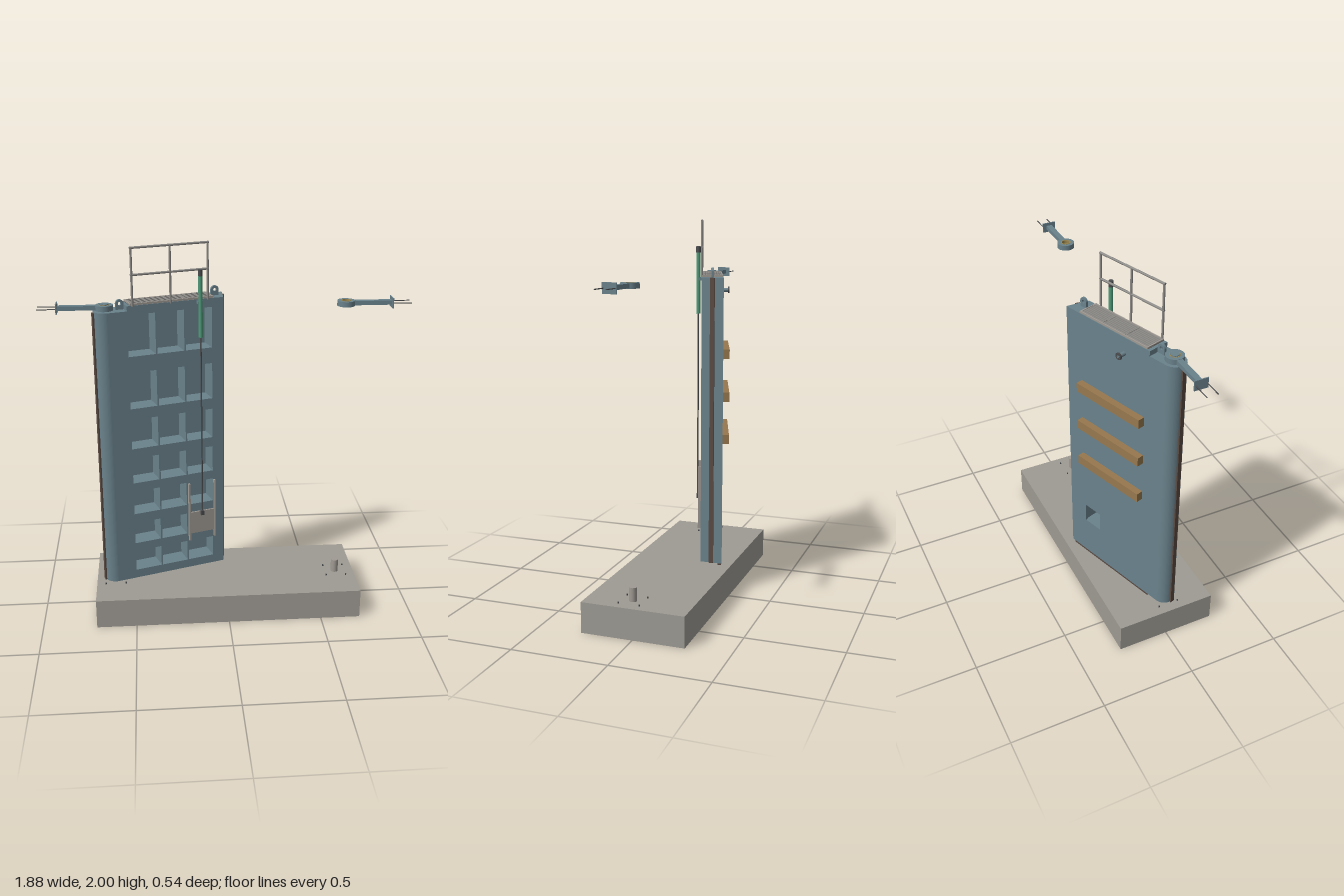
import * as THREE from 'three';

const mat = (name, color, side = THREE.FrontSide) => {
  const m = new THREE.MeshStandardMaterial({ color, side });
  m.name = name;
  return m;
};

export function createModel() {
  const blue = mat('blue grey paint', 0x6a828c);
  const concrete = mat('concrete', 0x9e9b94);
  const timber = mat('timber', 0x97784e);
  const green = mat('green actuator', 0x4f9a7a);
  const steel = mat('galvanised steel', 0x8d8b88);
  const dark = mat('dark steel', 0x4a4c4e);
  const rubber = mat('brown seal', 0x5a4a42);
  const stainless = mat('paddle steel', 0xa09a93);
  const bronze = mat('bronze', 0x9a8650);

  const root = new THREE.Group();
  root.name = 'lockGate';

  const add = (parent, name, geo, material, x = 0, y = 0, z = 0) => {
    const m = new THREE.Mesh(geo, material);
    m.name = name;
    m.position.set(x, y, z);
    parent.add(m);
    return m;
  };
  // Box given by its limits
  const box = (parent, name, material, x0, x1, y0, y1, z0, z1) =>
    add(parent, name, new THREE.BoxGeometry(x1 - x0, y1 - y0, z1 - z0), material,
      (x0 + x1) / 2, (y0 + y1) / 2, (z0 + z1) / 2);
  // Upright cylinder given by its ends
  const post = (parent, name, material, r, x, y0, y1, z, sides = 20) =>
    add(parent, name, new THREE.CylinderGeometry(r, r, y1 - y0, sides), material, x, (y0 + y1) / 2, z);
  // Plan outline (shape y = -z) raised from y0 to y1
  const prism = (parent, name, material, shape, y0, y1, curveSegments = 32) => {
    const g = new THREE.ExtrudeGeometry(shape, { depth: y1 - y0, bevelEnabled: false, curveSegments });
    g.rotateX(-Math.PI / 2);
    return add(parent, name, g, material, 0, y0, 0);
  };
  const rect = (Type, x0, x1, y0, y1) => new Type([
    new THREE.Vector2(x0, y0), new THREE.Vector2(x1, y0),
    new THREE.Vector2(x1, y1), new THREE.Vector2(x0, y1)]);
  const ringShape = (r, hole) => {
    const s = new THREE.Shape().absarc(0, 0, r, 0, Math.PI * 2);
    s.holes.push(new THREE.Path().absarc(0, 0, hole, 0, Math.PI * 2, true));
    return s;
  };

  // Concrete sill
  box(root, 'sill', concrete, -0.713, 0.713, 0, 0.16, -0.27, 0.27);

  // Pintle, anchor bolts and top anchorage on both sides
  const PX = 0.61, PZ = 0.035;
  for (const s of [-1, 1]) {
    const side = new THREE.Group();
    side.name = s > 0 ? 'leftAnchorage' : 'rightAnchorage';
    side.position.set(s * PX, 0, PZ);
    if (s < 0) side.rotation.y = Math.PI;
    root.add(side);
    post(side, 'pintle', stainless, 0.02, 0, 0.16, 0.232, 0);
    for (const bx of [-0.055, 0.055]) for (const bz of [-0.055, 0.055])
      post(side, 'sillBolt', dark, 0.004, bx, 0.16, 0.168, bz, 8);
    prism(side, 'collar', blue, ringShape(0.045, 0.026), 1.684, 1.711);
    prism(side, 'bush', bronze, ringShape(0.026, 0.02), 1.684, 1.712);
    box(side, 'anchorArm', blue, 0.04, 0.235, 1.687, 1.709, -0.015, 0.015);
    box(side, 'anchorPlate', blue, 0.232, 0.238, 1.672, 1.724, -0.035, 0.035);
    for (const z of [-0.028, 0.028]) {
      const rod = add(side, 'anchorRod', new THREE.CylinderGeometry(0.0025, 0.0025, 0.1, 8), dark, 0.282, 1.698, z);
      rod.rotation.z = Math.PI / 2;
    }
  }

  // Gate leaf, swung about the pintle
  const leaf = new THREE.Group();
  leaf.name = 'gateLeaf';
  leaf.position.set(-PX, 0, PZ);
  leaf.rotation.y = Math.atan(1 / 3);
  root.add(leaf);
  const T = 0.057, Y0 = 0.175, Y1 = 1.706, U0 = 0.1, U1 = 0.58;

  // Rounded heel post with its seal and pivot pin
  const heel = new THREE.Shape();
  heel.moveTo(U0, -T);
  heel.lineTo(0, -T);
  heel.absarc(0, 0, T, -Math.PI / 2, Math.PI / 2, true);
  heel.lineTo(U0, T);
  prism(leaf, 'heelPost', blue, heel, Y0, 1.68);
  box(leaf, 'heelSeal', rubber, -0.064, -0.05, Y0, 1.675, -0.012, 0.012);
  post(leaf, 'pivotPin', blue, 0.024, 0, 1.68, 1.716, 0, 6);

  // Mitre post, its end cut square to the lock axis
  const mitre = new THREE.Shape([[U1, -T], [0.62, -T], [0.658, T], [U1, T]]
    .map(([x, y]) => new THREE.Vector2(x, y)));
  prism(leaf, 'mitrePost', blue, mitre, Y0, Y1);
  const mitreSeal = box(leaf, 'mitreSeal', rubber, -0.007, 0.007, Y0, Y1, -0.012, 0.012);
  mitreSeal.position.x = 0.639;
  mitreSeal.rotation.y = -Math.atan(1 / 3);
  box(leaf, 'bottomSeal', rubber, 0.07, 0.64, 0.161, Y0, -0.055, -0.035);

  // Girder and rib framework, open to the front
  const rows = [[0.223, 0.34], [0.387, 0.509], [0.562, 0.695], [0.743, 0.886],
    [0.939, 1.103], [1.162, 1.358], [1.443, 1.66]];
  const frame = rect(THREE.Shape, U0, U1, Y0, Y1);
  const pitch = 0.1545;
  for (const [a, b] of rows) for (let c = 0; c < 3; c++) {
    const x = U0 + 0.001 + c * pitch;
    frame.holes.push(rect(THREE.Path, x, x + pitch - 0.008, a, b));
  }
  add(leaf, 'girderFrame', new THREE.ExtrudeGeometry(frame, { depth: 2 * T - 0.01, bevelEnabled: false }),
    blue, 0, 0, -T + 0.01);

  // Back skin with the sluice opening
  const skin = rect(THREE.Shape, U0, U1, Y0, Y1);
  skin.holes.push(rect(THREE.Path, 0.435, 0.545, 0.395, 0.505));
  add(leaf, 'skinPlate', new THREE.ExtrudeGeometry(skin, { depth: 0.01, bevelEnabled: false }), blue, 0, 0, -T);

  // Sluice paddle, guides, lifting rod and actuator
  const RU = 0.487, RV = 0.074;
  box(leaf, 'paddle', stainless, 0.415, 0.56, 0.387, 0.515, T + 0.001, T + 0.01);
  for (const u of [0.41, 0.559])
    box(leaf, 'paddleGuide', stainless, u, u + 0.009, 0.347, 0.69, T, T + 0.016);
  box(leaf, 'rodClevis', dark, RU - 0.009, RU + 0.009, 0.495, 0.52, T + 0.008, RV + 0.008);
  post(leaf, 'liftingRod', dark, 0.004, RU, 0.5, 1.52, RV, 10);
  post(leaf, 'actuator', green, 0.011, RU, 1.51, 1.855, RV);
  post(leaf, 'actuatorCap', dark, 0.012, RU, 1.83, 1.862, RV);
  box(leaf, 'actuatorBracket', blue, RU - 0.015, RU + 0.015, 1.685, 1.7, T - 0.005, RV);

  // Timber fenders on the back
  for (const y of [0.84, 1.07, 1.3])
    box(leaf, 'fender', timber, 0.125, 0.557, y - 0.025, y + 0.025, -0.093, -T);

  // Mooring stud on the back
  for (const [r, len, m] of [[0.011, 0.04, blue], [0.018, 0.008, dark]]) {
    const stud = add(leaf, 'mooringStud', new THREE.CylinderGeometry(r, r, len, 16), m, 0.262, 1.62,
      -T - (m === blue ? 0.02 : 0.036));
    stud.rotation.x = Math.PI / 2;
  }

  // Walkway: edge frame, long bars and cross bars
  const W0 = 0.118, W1 = 0.567, WT = 1.716;
  for (const v of [-0.054, 0.048]) box(leaf, 'walkwayEdge', stainless, W0, W1, Y1, WT, v, v + 0.006);
  for (const u of [W0, W1 - 0.006]) box(leaf, 'walkwayEnd', stainless, u, u + 0.006, Y1, WT, -0.05, 0.05);
  box(leaf, 'walkwayBed', dark, W0, W1, Y1, Y1 + 0.002, -0.05, 0.05);
  for (let i = 0; i < 8; i++) {
    const v = -0.042 + i * 0.012;
    box(leaf, 'gratingBar', steel, W0, W1, Y1, WT - 0.001, v - 0.0035, v + 0.0035);
  }
  for (const k of [1 / 3, 2 / 3]) {
    const u = W0 + (W1 - W0) * k;
    box(leaf, 'gratingCrossBar', steel, u - 0.003, u + 0.003, Y1, WT, -0.05, 0.05);
  }

  // Handrail along the front edge
  const H0 = 0.13, H1 = 0.535;
  for (const u of [H0, (H0 + H1) / 2, H1]) post(leaf, 'railPost', steel, 0.006, u, 1.7, 1.996, 0.055, 12);
  for (const y of [1.86, 1.994]) {
    const rail = add(leaf, 'handrail', new THREE.CylinderGeometry(0.006, 0.006, H1 - H0 + 0.012, 12), steel,
      (H0 + H1) / 2, y, 0.055);
    rail.rotation.z = Math.PI / 2;
  }

  // Lifting lugs: round-topped plates with an eye
  const lug = new THREE.Shape();
  lug.moveTo(-0.021, 0);
  lug.lineTo(0.021, 0);
  lug.lineTo(0.021, 0.03);
  lug.absarc(0, 0.03, 0.021, 0, Math.PI, false);
  lug.holes.push(new THREE.Path().absarc(0, 0.03, 0.009, 0, Math.PI * 2, true));
  const lugGeo = new THREE.ExtrudeGeometry(lug, { depth: 0.012, bevelEnabled: false });
  add(leaf, 'liftingLug', lugGeo, blue, 0.079, 1.68, -0.006);
  add(leaf, 'liftingLug', lugGeo, blue, 0.594, Y1, -0.006);

  return root;
}
